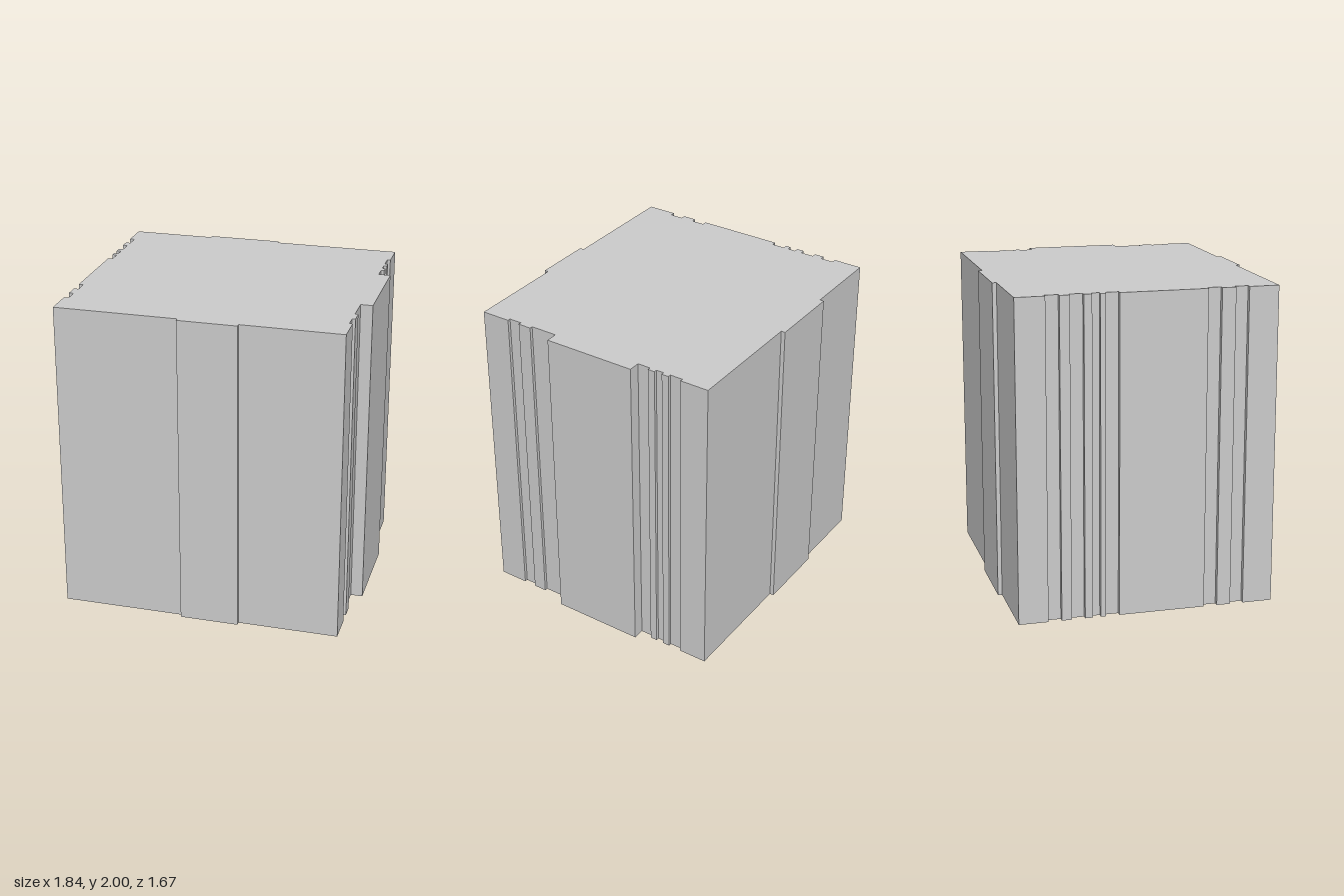
import * as THREE from 'three';

const HEIGHT = 2;
const LEFT = 0.865, RIGHT = -0.92, DEPTH = 0.807, PAD = 0.833;

// Side steps, back to front: [z where the step starts, x of the wall from there on]
const leftSteps = [
  [-0.807, LEFT], [-0.623, 0.845], [-0.54, LEFT], [-0.495, 0.845], [-0.445, LEFT], [-0.4, 0.845],
  [-0.317, 0.92], [0.278, 0.845], [0.452, LEFT], [0.538, 0.845], [0.62, LEFT],
];
const rightSteps = [
  [-0.807, RIGHT], [-0.623, -0.89], [-0.54, RIGHT], [-0.478, -0.89], [-0.394, RIGHT], [-0.345, -0.89],
  [-0.295, RIGHT], [-0.262, -0.89], [-0.178, RIGHT], [0.365, -0.89], [0.45, RIGHT], [0.537, -0.89], [0.62, RIGHT],
];

// Turn steps into a square-cornered wall line of [x, z] points
function wall(steps) {
  return steps.flatMap(([z, x], i) => {
    const end = i + 1 < steps.length ? steps[i + 1][0] : DEPTH;
    return [[x, z], [x, end]];
  });
}

// Shallow raised pad on the front (sign 1) or back (sign -1)
function pad(x0, x1, sign) {
  return [[x0, sign * DEPTH], [x0, sign * PAD], [x1, sign * PAD], [x1, sign * DEPTH]];
}

export function createModel() {
  const group = new THREE.Group();
  group.name = 'groovedBlock';

  // Plan outline: left wall, front pad, right wall, back pad
  const outline = [
    ...wall(leftSteps),
    ...pad(0.23, -0.143, 1),
    ...wall(rightSteps).reverse(),
    ...pad(-0.402, 0.065, -1),
  ];
  const shape = new THREE.Shape(outline.map(([x, z]) => new THREE.Vector2(x, -z)));

  // Raise the outline to full height
  const geometry = new THREE.ExtrudeGeometry(shape, { depth: HEIGHT, bevelEnabled: false });
  geometry.rotateX(-Math.PI / 2);

  const block = new THREE.Mesh(
    geometry,
    new THREE.MeshStandardMaterial({ color: 0xcccccc, flatShading: true }),
  );
  block.name = 'block';
  group.add(block);
  return group;
}
